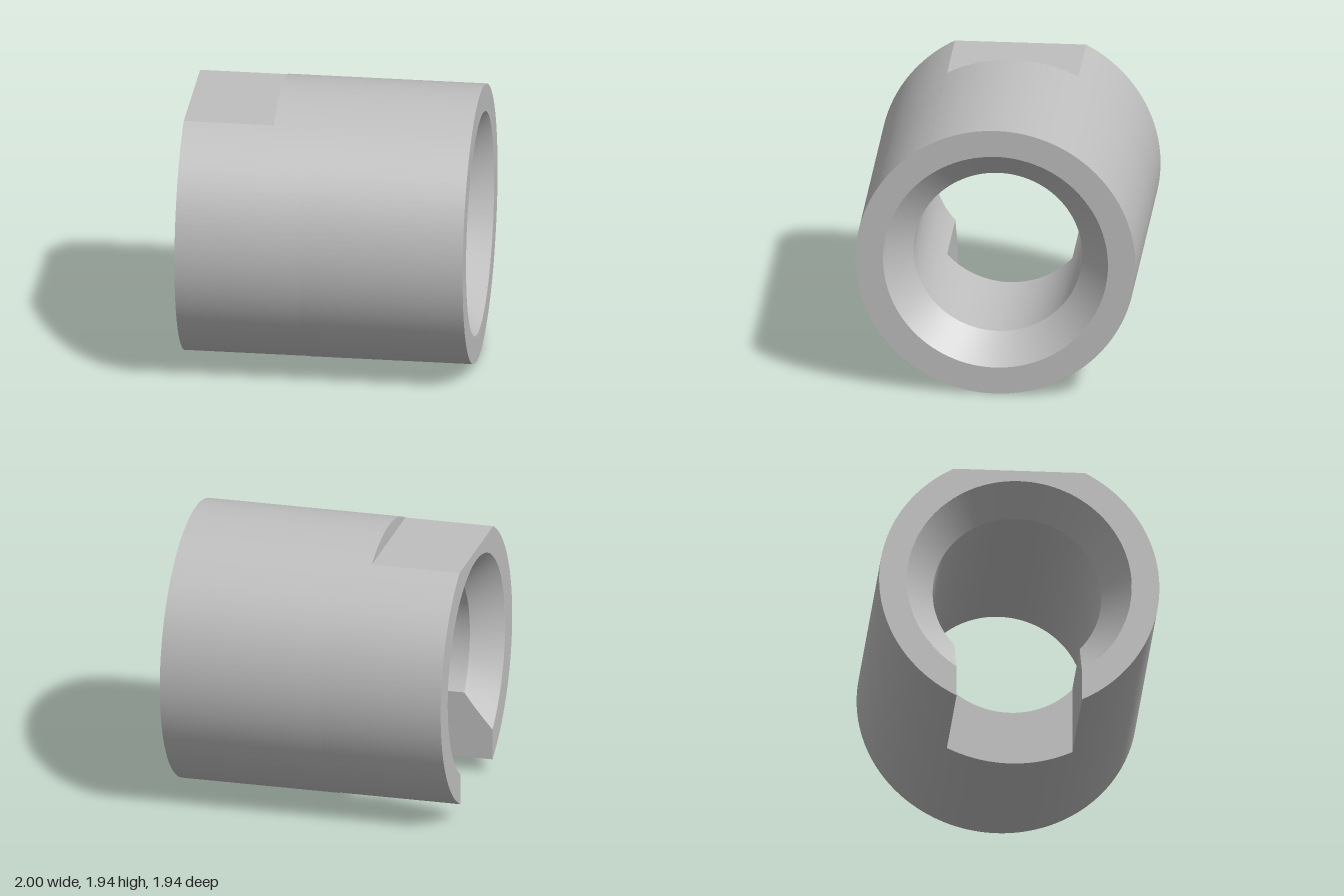
import * as THREE from 'three';
import { mergeGeometries } from 'three/addons/utils/BufferGeometryUtils.js';

const R = 0.968, BORE = 0.583, MOUTH = 0.777;  // outer, bore and chamfer-mouth radii
const CH = 0.8;                                // chamfers begin at x = +-CH
const FLAT = 0.855, FLAT_X = -0.375;           // height of the top flat above the axis, and its end
const SLOT = 0.433, SLOT_X = -0.14;            // half-width of the bottom slot, and its end
const PHI = Math.acos(FLAT / R);               // half-angle of the flat
const edge = (r) => Math.PI - Math.asin(SLOT / r); // angle from the top to the slot wall
const lerp = THREE.MathUtils.lerp;

// Grid surface from f(u, v) -> [x, y, z]; it faces du x dv
function grid(f, nu, nv) {
  const pos = [], index = [];
  for (let j = 0; j <= nv; j++)
    for (let i = 0; i <= nu; i++) pos.push(...f(i / nu, j / nv));
  for (let j = 0; j < nv; j++)
    for (let i = 0; i < nu; i++) {
      const a = j * (nu + 1) + i, b = a + 1, c = a + nu + 1, d = c + 1;
      index.push(a, b, d, a, d, c);
    }
  const g = new THREE.BufferGeometry();
  g.setAttribute('position', new THREE.Float32BufferAttribute(pos, 3));
  g.setIndex(index);
  g.computeVertexNormals();
  return g;
}

// Ruled surface between two curves
const ruled = (A, B, n = 48) => grid((u, v) => {
  const a = A(u), b = B(u);
  return a.map((k, i) => lerp(k, b[i], v));
}, n, 1);

// Arc around the x axis, angle measured from the top towards +z
const arc = (x, r, t0, t1) => (u) => {
  const t = lerp(t0, t1, u);
  return [x, r * Math.cos(t), r * Math.sin(t)];
};
const line = (a, b) => (u) => a.map((k, i) => lerp(k, b[i], u));

export function createModel() {
  const steel = new THREE.MeshStandardMaterial({ color: 0xbfbfbf });
  steel.name = 'grey steel';
  const group = new THREE.Group();
  group.name = 'slottedBushing';
  const add = (name, ...geos) => {
    const mesh = new THREE.Mesh(mergeGeometries(geos), steel);
    mesh.name = name;
    mesh.position.y = R;
    group.add(mesh);
  };

  const eo = edge(R), eb = edge(BORE), em = edge(MOUTH), T = 2 * Math.PI;
  const half = R * Math.sin(PHI);
  const chord = (x) => line([x, FLAT, -half], [x, FLAT, half]);
  const band = (x0, x1, r, t0, t1, n) => ruled(arc(x0, r, t0, t1), arc(x1, r, t0, t1), n);

  // Outer wall: sides, crown behind the flat, belly behind the slot
  add('outerWall',
    band(-1, SLOT_X, R, PHI, eo), band(-1, SLOT_X, R, -eo, -PHI),
    band(SLOT_X, 1, R, PHI, eo), band(SLOT_X, 1, R, -eo, -PHI),
    band(FLAT_X, 1, R, -PHI, PHI), band(SLOT_X, 1, R, eo, T - eo));

  // Top flat and the step at its end
  add('topFlat', ruled(chord(-1), chord(FLAT_X)));
  add('flatStep', ruled(chord(FLAT_X), arc(FLAT_X, R, -PHI, PHI)));

  // Bore
  add('bore',
    band(SLOT_X, -CH, BORE, -eb, eb, 96),
    band(CH, SLOT_X, BORE, -eb, eb, 96),
    band(CH, SLOT_X, BORE, eb, T - eb));

  // Chamfers at both mouths; the one at -x is cut by the slot
  add('closedEndChamfer', ruled(arc(1, MOUTH, 0, T), arc(CH, BORE, 0, T), 128));
  add('slottedEndChamfer', grid((u, v) => {
    const r = lerp(BORE, MOUTH, v);
    return arc(lerp(-CH, -1, v), r, -edge(r), edge(r))(u);
  }, 96, 8));

  // End faces
  add('closedEndFace',
    ruled(arc(1, R, PHI, eo), arc(1, MOUTH, PHI, eo)),
    ruled(arc(1, R, -eo, -PHI), arc(1, MOUTH, -eo, -PHI)),
    ruled(arc(1, R, -PHI, PHI), arc(1, MOUTH, -PHI, PHI)),
    ruled(arc(1, R, eo, T - eo), arc(1, MOUTH, eo, T - eo)));
  add('slottedEndFace',
    ruled(arc(-1, MOUTH, PHI, em), arc(-1, R, PHI, eo)),
    ruled(arc(-1, MOUTH, -em, -PHI), arc(-1, R, -eo, -PHI)),
    ruled(arc(-1, MOUTH, -PHI, PHI), chord(-1)));

  // Slot side walls follow the chamfer and bore; the end wall closes the slot
  const upper = (z) => (u) => {
    const x = lerp(-1, SLOT_X, u);
    const r = BORE + Math.max(0, (-CH - x) / (1 - CH)) * (MOUTH - BORE);
    return [x, -Math.sqrt(r * r - SLOT * SLOT), z];
  };
  const low = -Math.sqrt(R * R - SLOT * SLOT);
  const lower = (z) => line([-1, low, z], [SLOT_X, low, z]);
  add('slotWallLeft', ruled(upper(SLOT), lower(SLOT), 43));
  add('slotWallRight', ruled(lower(-SLOT), upper(-SLOT), 43));
  add('slotEnd', ruled(arc(SLOT_X, BORE, eb, T - eb), arc(SLOT_X, R, eo, T - eo)));

  return group;
}
